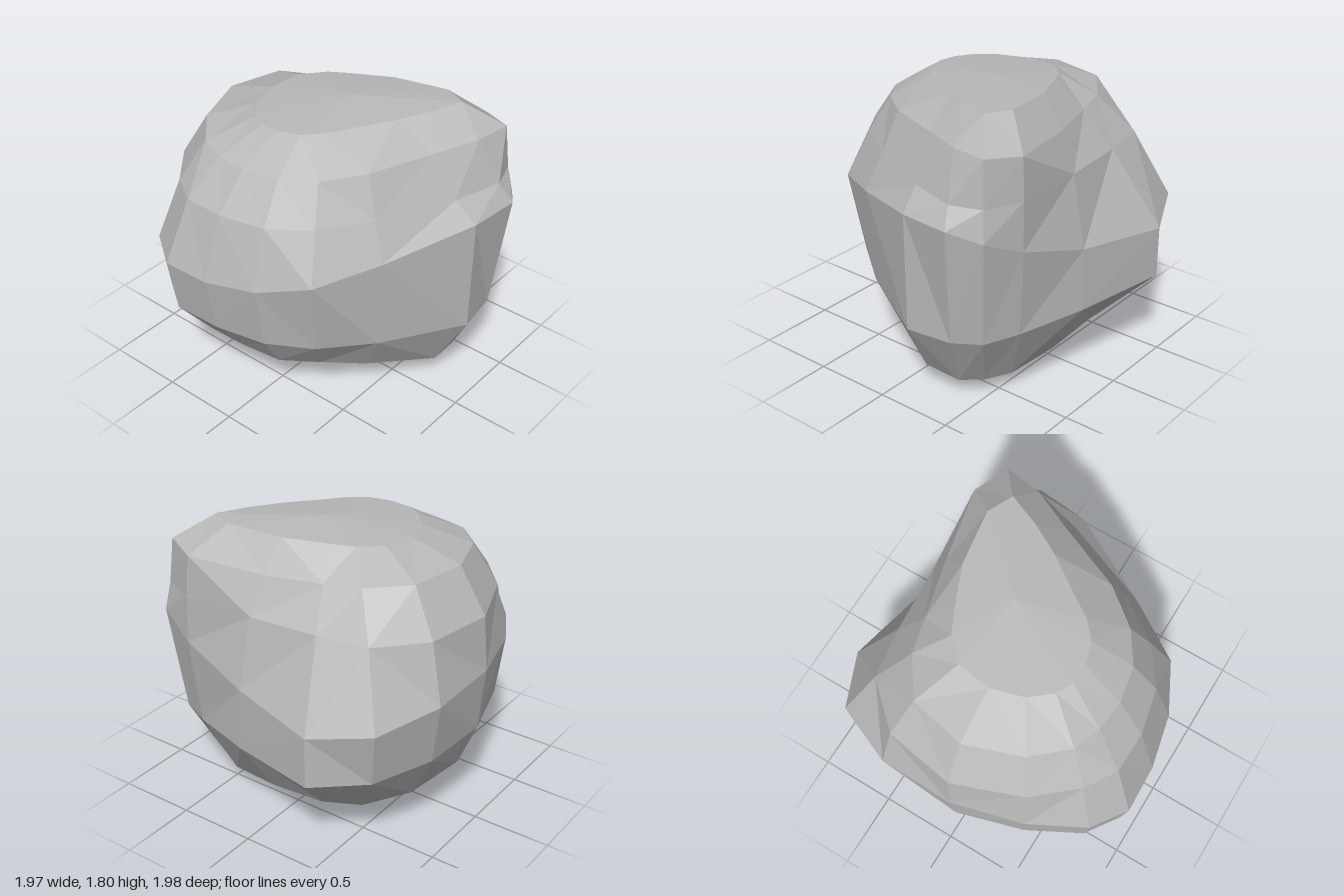
import * as THREE from 'three';

// Directions of the boulder's corners in degrees, from the front (+z) turning towards +x.
const ANGLES = [-9, 11, 32, 61, 100, 117, 128, 141, 170, 204, 224, 246, 273, 300, 321, 335];

// Tilted cross-sections from bottom to top, with one radius for each angle:
// y = y0 + kx*x + kxx*x*x + kz*z
const SECTIONS = [
  { y0: 0.23, kx: -0.1, kz: 0.14, // underside
    r: [0.74, 0.68, 0.57, 0.56, 0.75, 0.8, 0.77, 0.72, 0.62, 0.68, 0.76, 0.8, 0.83, 0.86, 0.9, 0.84] },
  { y0: 0.55, kx: -0.06, kz: 0.03, // lower edge
    r: [0.93, 0.85, 0.78, 0.74, 0.95, 1, 1, 0.92, 0.87, 1.09, 1.08, 1, 0.95, 0.95, 1.03, 1.04] },
  { y0: 0.924, kx: 0.127, kxx: 0.218, kz: 0.04, // waist
    r: [0.99, 0.92, 0.88, 0.78, 0.96, 1.1, 1.1, 0.98, 0.86, 1.09, 1.16, 1.07, 0.99, 1, 1.08, 1.09] },
  { y0: 1.36, // shoulder
    r: [0.86, 0.8, 0.73, 0.67, 0.82, 1.01, 1.06, 0.97, 0.76, 0.78, 0.92, 0.97, 0.96, 0.93, 0.93, 0.93] },
  { y0: 1.59, kxx: 0.08, // upper edge
    r: [0.68, 0.64, 0.59, 0.56, 0.66, 0.87, 1.03, 0.95, 0.65, 0.6, 0.68, 0.78, 0.79, 0.77, 0.76, 0.72] },
  { y0: 1.76, kx: 0.04, kz: -0.03, // crown
    r: [0.42, 0.38, 0.33, 0.3, 0.42, 0.58, 0.76, 0.7, 0.5, 0.42, 0.44, 0.47, 0.46, 0.46, 0.46, 0.45] },
];
const LOW_POINT = new THREE.Vector3(0.36, 0, -0.23);
const HIGH_POINT = new THREE.Vector3(0.05, 1.8, -0.12);

function ringPoints({ y0, kx = 0, kxx = 0, kz = 0, r }) {
  return r.map((radius, i) => {
    const a = THREE.MathUtils.degToRad(ANGLES[i]);
    const x = radius * Math.sin(a);
    const z = radius * Math.cos(a);
    return new THREE.Vector3(x, y0 + kx * x + kxx * x * x + kz * z, z);
  });
}

function boulderGeometry() {
  const rings = SECTIONS.map(ringPoints);
  const n = ANGLES.length;
  const corners = [];
  const last = rings[rings.length - 1];
  for (let i = 0; i < n; i++) {
    const j = (i + 1) % n;
    // underside and crown fans
    corners.push(LOW_POINT, rings[0][j], rings[0][i]);
    corners.push(HIGH_POINT, last[i], last[j]);
    // facets between sections, split along the shorter diagonal
    for (let k = 0; k < rings.length - 1; k++) {
      const a = rings[k][i], b = rings[k][j], c = rings[k + 1][j], d = rings[k + 1][i];
      if (a.distanceTo(c) < b.distanceTo(d)) corners.push(a, b, c, a, c, d);
      else corners.push(a, b, d, b, c, d);
    }
  }
  const geometry = new THREE.BufferGeometry().setFromPoints(corners);
  geometry.computeVertexNormals();
  return geometry;
}

export function createModel() {
  const group = new THREE.Group();
  group.name = 'rock';
  const stone = new THREE.MeshStandardMaterial({ color: 0xb8b8b8, flatShading: true });
  stone.name = 'stone grey';
  const boulder = new THREE.Mesh(boulderGeometry(), stone);
  boulder.name = 'boulder';
  group.add(boulder);
  return group;
}
